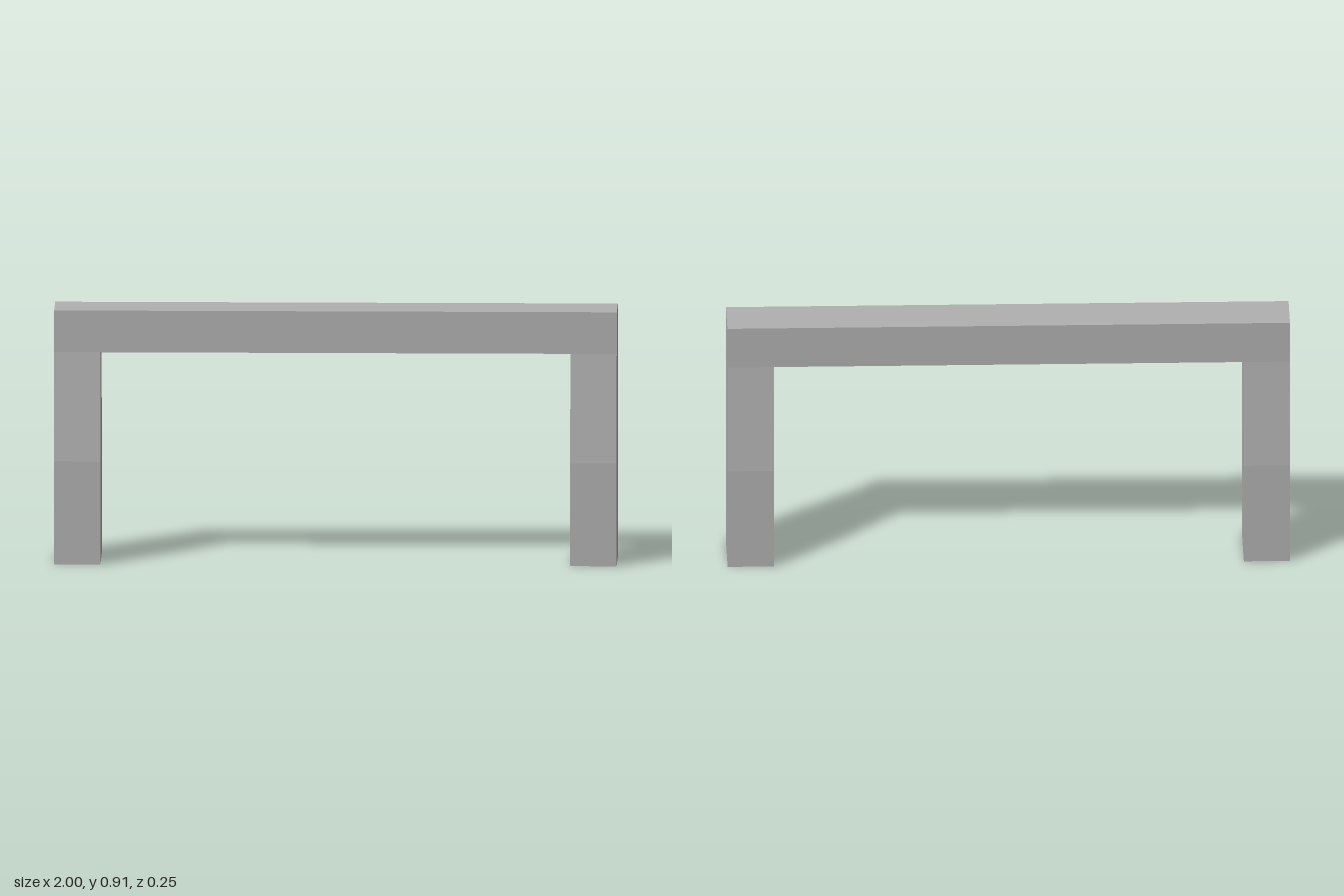
import * as THREE from 'three';

export function createModel() {
  const group = new THREE.Group();
  const grey = new THREE.MeshStandardMaterial({ color: 0xb0b0b0 });
  grey.name = 'plain grey';

  const height = 0.91, beamBottom = 0.76, bend = 0.37;
  const beamHalf = 0.097, legHalf = 0.125, legWidth = 0.165;

  // Straight beam across the top
  const beam = new THREE.Mesh(
    new THREE.BoxGeometry(2, height - beamBottom, beamHalf * 2), grey);
  beam.position.y = (height + beamBottom) / 2;
  beam.name = 'topBeam';
  group.add(beam);

  // Leg side profile: straight foot, then a taper up to the beam
  const profile = new THREE.Shape([
    [-legHalf, 0], [legHalf, 0], [legHalf, bend],
    [beamHalf, beamBottom], [-beamHalf, beamBottom], [-legHalf, bend],
  ].map(([z, y]) => new THREE.Vector2(z, y)));
  const legGeometry = new THREE.ExtrudeGeometry(profile, { depth: legWidth, bevelEnabled: false });
  legGeometry.translate(0, 0, -legWidth / 2).rotateY(Math.PI / 2);

  for (const [name, side] of [['leftLeg', 1], ['rightLeg', -1]]) {
    const leg = new THREE.Mesh(legGeometry, grey);
    leg.position.x = side * (1 - legWidth / 2);
    leg.name = name;
    group.add(leg);
  }
  return group;
}
